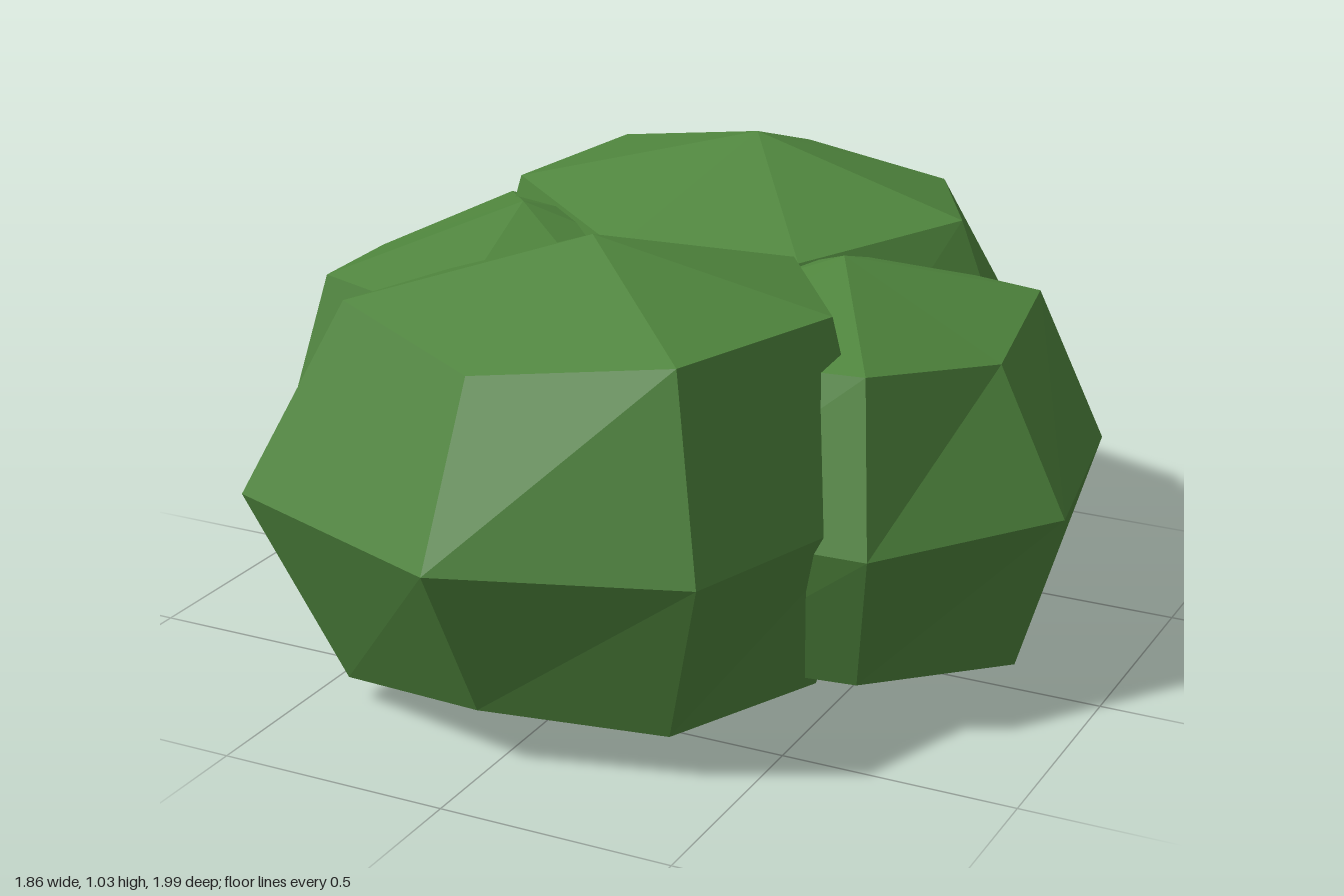
import * as THREE from 'three';

const SIDES = 7;

// Seven-sided lumpy ball: three rings of radii between a bottom and a top pole.
// The upper and lower rings sit at 45 degrees, so height follows radius.
function lump({ x, z, cy, top, squash, start, lower, middle, upper }) {
  const rings = [
    lower.map((r) => [r, cy - r * squash]),
    middle.map((r) => [r, cy]),
    upper.map((r) => [r, cy + r * squash]),
  ].map((ring) => ring.map(([r, y], i) => {
    const a = THREE.MathUtils.degToRad(start) + (i * 2 * Math.PI) / SIDES;
    return [x + r * Math.cos(a), y, z + r * Math.sin(a)];
  }));
  const bottomPole = [x, 0, z];
  const topPole = [x, top, z];
  const points = [];
  const face = (...corners) => corners.forEach((c) => points.push(...c));

  for (let i = 0; i < SIDES; i++) {
    const j = (i + 1) % SIDES;
    face(bottomPole, rings[0][i], rings[0][j]);
    for (let k = 0; k < 2; k++) {
      const [lo, hi] = [rings[k], rings[k + 1]];
      face(lo[j], lo[i], hi[i]);
      face(lo[j], hi[i], hi[j]);
    }
    face(topPole, rings[2][j], rings[2][i]);
  }
  const geometry = new THREE.BufferGeometry();
  geometry.setAttribute('position', new THREE.Float32BufferAttribute(points, 3));
  geometry.computeVertexNormals(); // unshared corners give flat facets
  return geometry;
}

export function createModel() {
  const group = new THREE.Group();
  group.name = 'bush';
  const leafGreen = new THREE.MeshStandardMaterial({ color: 0x4f853d });
  leafGreen.name = 'leafGreen';

  // Four overlapping clumps of foliage
  const clumps = {
    frontClump: {
      x: 0.02, z: 0.39, cy: 0.475, top: 1.0, squash: 0.81, start: 44,
      lower: [0.46, 0.43, 0.52, 0.48, 0.47, 0.47, 0.48],
      middle: [0.61, 0.6, 0.72, 0.64, 0.62, 0.62, 0.6],
      upper: [0.5, 0.44, 0.5, 0.44, 0.46, 0.49, 0.5],
    },
    backClump: {
      x: 0.02, z: -0.39, cy: 0.49, top: 1.03, squash: 0.81, start: 2.8,
      lower: [0.48, 0.47, 0.47, 0.48, 0.48, 0.52, 0.43],
      middle: [0.66, 0.62, 0.62, 0.65, 0.71, 0.62, 0.69],
      upper: [0.5, 0.46, 0.46, 0.53, 0.52, 0.49, 0.47],
    },
    leftClump: {
      x: 0.4, z: 0, cy: 0.44, top: 0.9, squash: 0.79, start: 9.6,
      lower: [0.44, 0.41, 0.42, 0.42, 0.42, 0.42, 0.39],
      middle: [0.54, 0.54, 0.53, 0.5, 0.5, 0.6, 0.6],
      upper: [0.38, 0.44, 0.42, 0.4, 0.4, 0.42, 0.44],
    },
    rightClump: {
      x: -0.36, z: 0, cy: 0.45, top: 0.92, squash: 0.79, start: 31.5,
      lower: [0.42, 0.42, 0.45, 0.42, 0.42, 0.42, 0.42],
      middle: [0.5, 0.54, 0.545, 0.57, 0.63, 0.55, 0.5],
      upper: [0.4, 0.42, 0.44, 0.39, 0.46, 0.42, 0.4],
    },
  };
  for (const [name, shape] of Object.entries(clumps)) {
    const mesh = new THREE.Mesh(lump(shape), leafGreen);
    mesh.name = name;
    group.add(mesh);
  }
  return group;
}
